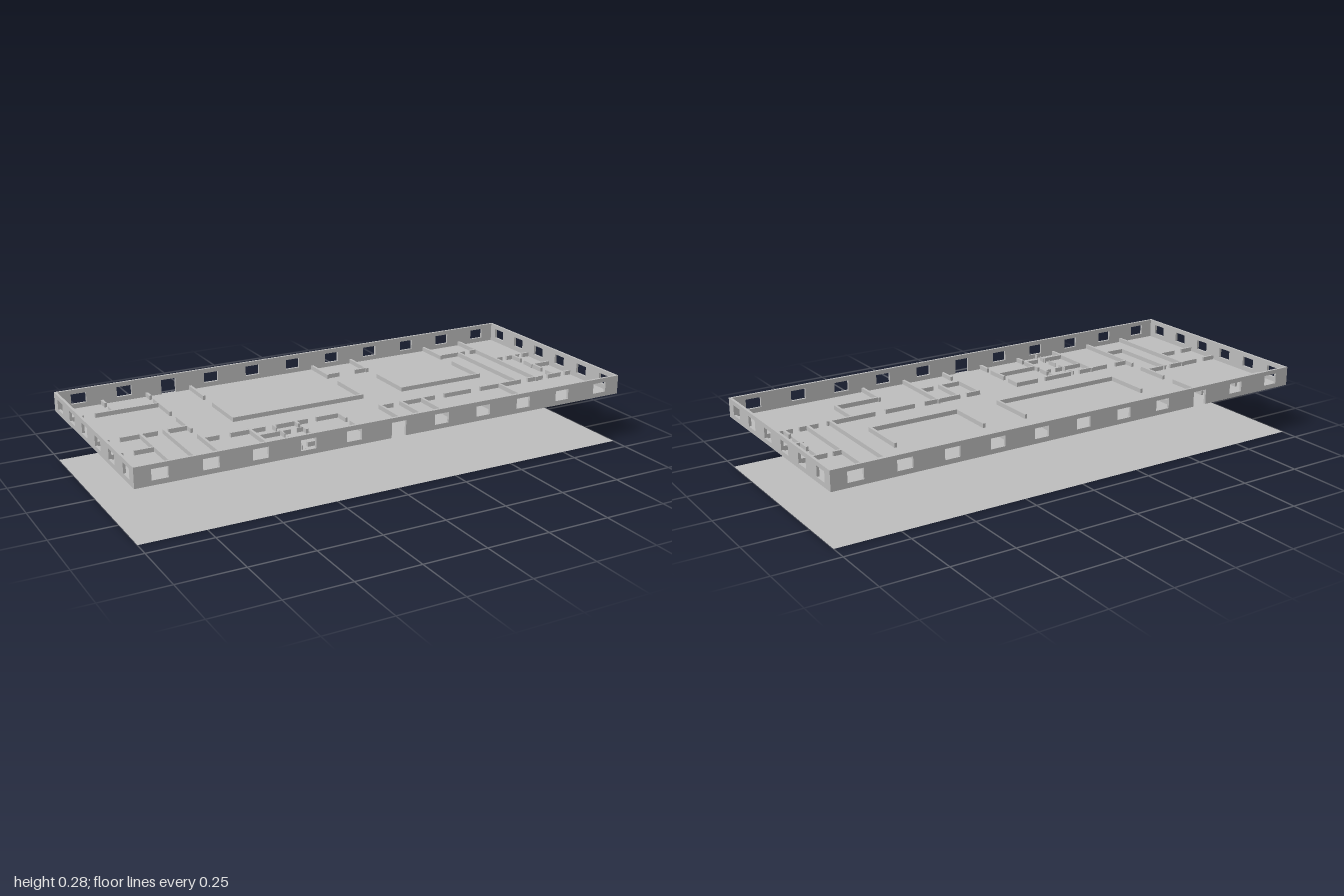
import * as THREE from 'three';

// Planning grid: 22 bays across x, 12 bays across z
const HALF_X = 1, HALF_Z = 0.43;
const BAY_X = HALF_X / 11, BAY_Z = HALF_Z / 6;
const FLOOR_Y = 0.2, WALL_H = 0.075, LOW_H = 0.017, THICK = 0.01;
const SILL = 0.018, HEAD = 0.058, OPENING = 0.06;

const grey = new THREE.MeshStandardMaterial({ color: 0xbfbfbf, side: THREE.DoubleSide });
grey.name = 'concrete grey';

// Low walls running along x: [z line, [start, end], ...] in bays
const wallsAlongX = [
  [-4, [-11, -10.4], [-9.75, -7], [1, 1.55], [2.45, 3], [7, 8.3], [8.7, 9]],
  [-2, [9, 9.35], [9.7, 10.3], [10.65, 11]],
  [0, [-11, -10.4], [-9.8, -8.35], [-7.8, -7], [-5, 1], [3, 7], [10, 11]],
  [2, [-11, -10.4], [-9.8, -9], [-7, -6.4], [-5.8, -4.4], [-3.8, -2.5], [-2, -1],
    [1, 1.55], [2.1, 3.6], [4.2, 5.45], [6.05, 8.1], [8.6, 9.3], [9.7, 10.3], [10.7, 11]],
  [4, [-8, -7], [-3, -1], [1, 2], [2.4, 3], [5, 7]],
  [5, [-5, -4], [-3.6, -3]],
];

// Low walls running along z: [x line, [start, end], ...] in bays
const wallsAlongZ = [
  [-9, [-6, -5.4], [-4.6, -4], [0, 6]],
  [-8, [0, 4]],
  [-7, [-6, -5.4], [-4.7, -2.4], [-1.4, 0.45], [1.5, 6]],
  [-5, [-6, -4], [-2.6, 0], [2, 6]],
  [-3, [2, 2.4], [2.8, 3.3], [3.7, 5], [5.4, 6]],
  [-1, [2, 2.8], [3.4, 4.6], [5.2, 6]],
  [1, [-6, -4], [-2.6, 0], [2, 4], [5, 6]],
  [2, [2, 4]],
  [3, [-6, -4], [-2.6, 0], [2, 6]],
  [5, [4, 6]],
  [7, [-6, -4], [-2.6, 0], [2, 4]],
  [8, [-4, 2]],
  [9, [-6, 2]],
  [10, [-2, -1.2], [-0.7, 0.8], [1.35, 2]],
];

function addMesh(parent, geometry, name) {
  const mesh = new THREE.Mesh(geometry, grey);
  mesh.name = name;
  parent.add(mesh);
  return mesh;
}

function addSlab(parent, y, name) {
  const slab = addMesh(parent, new THREE.PlaneGeometry(2 * HALF_X, 2 * HALF_Z), name);
  slab.rotation.x = -Math.PI / 2;
  slab.position.y = y;
}

// Outer wall with evenly spaced windows; one opening may be a door
function outerWall(length, count, doorIndex = -1) {
  const h = length / 2, step = length / count;
  const shape = new THREE.Shape();
  shape.moveTo(-h, 0);
  if (doorIndex >= 0) {
    const c = -h + step * (doorIndex + 0.5), w = OPENING / 2;
    shape.lineTo(c - w, 0);
    shape.lineTo(c - w, HEAD);
    shape.lineTo(c + w, HEAD);
    shape.lineTo(c + w, 0);
  }
  shape.lineTo(h, 0);
  shape.lineTo(h, WALL_H);
  shape.lineTo(-h, WALL_H);
  shape.closePath();
  for (let i = 0; i < count; i++) {
    if (i === doorIndex) continue;
    const c = -h + step * (i + 0.5), w = OPENING / 2;
    const hole = new THREE.Path();
    hole.moveTo(c - w, SILL);
    hole.lineTo(c - w, HEAD);
    hole.lineTo(c + w, HEAD);
    hole.lineTo(c + w, SILL);
    hole.closePath();
    shape.holes.push(hole);
  }
  return new THREE.ExtrudeGeometry(shape, { depth: THICK, bevelEnabled: false });
}

// Low partition between two points, aligned to an axis
function addPartition(parent, x0, z0, x1, z1, thick = THICK) {
  const sx = (x1 - x0) * BAY_X, sz = (z1 - z0) * BAY_Z;
  const wall = addMesh(parent,
    new THREE.BoxGeometry(sx + thick, LOW_H, sz + thick), 'partition');
  wall.position.set((x0 + x1) / 2 * BAY_X, FLOOR_Y + LOW_H / 2, (z0 + z1) / 2 * BAY_Z);
  // keep ends inside the outer walls
  wall.position.x = THREE.MathUtils.clamp(wall.position.x,
    -HALF_X + (sx + thick) / 2, HALF_X - (sx + thick) / 2);
  wall.position.z = THREE.MathUtils.clamp(wall.position.z,
    -HALF_Z + (sz + thick) / 2, HALF_Z - (sz + thick) / 2);
}

export function createModel() {
  const model = new THREE.Group();
  model.name = 'floorPlan';

  // Ground sheet and raised floor
  addSlab(model, 0, 'groundSheet');
  addSlab(model, FLOOR_Y, 'floor');

  // Outer walls
  const front = addMesh(model, outerWall(2 * HALF_X, 11, 5), 'frontWall');
  front.position.set(0, FLOOR_Y, HALF_Z - THICK);
  const back = addMesh(model, outerWall(2 * HALF_X, 11, 2), 'backWall');
  back.position.set(0, FLOOR_Y, -HALF_Z);
  for (const side of [-1, 1]) {
    const wall = addMesh(model, outerWall(2 * HALF_Z, 6), side > 0 ? 'leftWall' : 'rightWall');
    wall.rotation.y = side * Math.PI / 2;
    wall.position.set(side * (HALF_X - THICK), FLOOR_Y, 0);
  }

  // Room partitions
  const rooms = new THREE.Group();
  rooms.name = 'partitions';
  model.add(rooms);
  for (const [z, ...spans] of wallsAlongX)
    for (const [a, b] of spans) addPartition(rooms, a, z, b, z);
  for (const [x, ...spans] of wallsAlongZ)
    for (const [a, b] of spans) addPartition(rooms, x, a, x, b);

  // Thin cubicle dividers
  const cubicles = new THREE.Group();
  cubicles.name = 'cubicles';
  model.add(cubicles);
  for (const [a, b] of [[-5, -4.1], [-3.9, -3.6], [-3.3, -3]])
    addPartition(cubicles, a, 3, b, 3, 0.004);
  for (const [a, b] of [[2, 2.4], [2.8, 3.4], [3.8, 4.4], [4.8, 5.3], [5.7, 6]])
    addPartition(cubicles, -4, a, -4, b, 0.004);

  return model;
}
